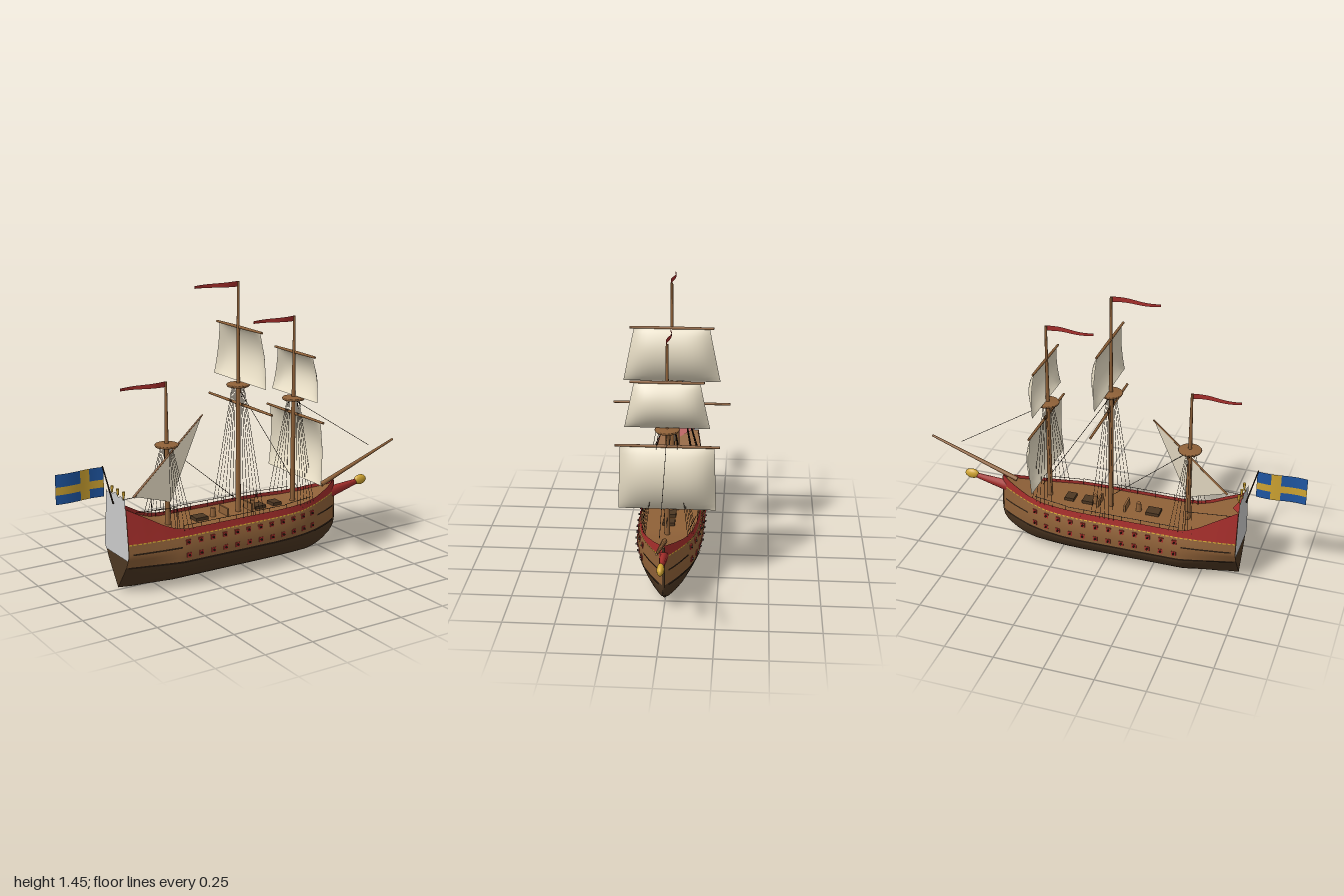
import * as THREE from 'three';

const mat = (name, color, side = THREE.FrontSide) => {
  const m = new THREE.MeshStandardMaterial({ color, side });
  m.name = name;
  return m;
};

export function createModel() {
  const ship = new THREE.Group();
  ship.name = 'sailingShip';
  const wood = mat('wood', 0x8f6138, THREE.DoubleSide);
  const darkHull = mat('darkHull', 0x4d3722);
  const red = mat('redPaint', 0xa62e2b, THREE.DoubleSide);
  const canvas = mat('canvas', 0xe4dac2, THREE.DoubleSide);
  const gold = mat('gold', 0xd2a632, THREE.DoubleSide);
  const blue = mat('blueCloth', 0x1f57a4, THREE.DoubleSide);
  const gray = mat('grayPanel', 0xcacaca, THREE.DoubleSide);
  const rope = mat('rope', 0x2c1e12);

  const add = (name, geo, material, x = 0, y = 0, z = 0, parent = ship) => {
    const m = new THREE.Mesh(geo, material);
    m.name = name;
    m.position.set(x, y, z);
    parent.add(m);
    return m;
  };
  const group = (name) => {
    const g = new THREE.Group();
    g.name = name;
    ship.add(g);
    return g;
  };
  // Tapered rod between two points
  const rod = (name, a, b, r0, r1, material, parent = ship, sides = 10) => {
    const p = new THREE.Vector3(...a), q = new THREE.Vector3(...b);
    const d = q.clone().sub(p);
    const m = add(name, new THREE.CylinderGeometry(r1, r0, d.length(), sides), material, 0, 0, 0, parent);
    m.position.copy(p).addScaledVector(d, 0.5);
    m.quaternion.setFromUnitVectors(new THREE.Vector3(0, 1, 0), d.normalize());
    return m;
  };
  const table = (pts) => (x) => {
    let i = 1;
    while (i < pts.length - 1 && x > pts[i][0]) i++;
    const [x0, y0] = pts[i - 1], [x1, y1] = pts[i];
    return y0 + (y1 - y0) * Math.min(1, Math.max(0, (x - x0) / (x1 - x0)));
  };

  // Hull lines: beam and keel along the length, fullness by height, sheer of the top edge
  const STERN = -0.69, BOW = 0.6;
  const beam = table([[-0.69, 0.13], [-0.62, 0.142], [-0.5, 0.157], [-0.4, 0.165], [0.12, 0.165], [0.22, 0.158],
    [0.32, 0.14], [0.41, 0.112], [0.5, 0.068], [0.56, 0.033], [0.6, 0.005]]);
  const keel = table([[-0.69, 0.012], [-0.6, 0.002], [0.4, 0], [0.46, 0.01], [0.52, 0.032], [0.57, 0.065], [0.6, 0.1]]);
  const full = table([[0, 0], [0.01, 0.3], [0.025, 0.48], [0.05, 0.66], [0.08, 0.81], [0.11, 0.92],
    [0.14, 0.98], [0.18, 1], [0.22, 0.98], [0.265, 0.91], [0.435, 0.77]]);
  const vee = table([[0, 0], [0.14, 0.72], [0.2, 0.95], [0.265, 0.91], [0.435, 0.77]]);
  const sheer = table([[-0.69, 0.435], [-0.57, 0.37], [-0.5, 0.33], [-0.44, 0.307], [-0.38, 0.298], [0.33, 0.298],
    [0.43, 0.308], [0.52, 0.328], [0.6, 0.35]]);
  const redLine = table([[-0.69, 0.262], [0.3, 0.263], [0.6, 0.29]]);
  const halfWidth = (x, y) => {
    const k = keel(x), l = y < 0.14 ? Math.max(0, (y - k) / (0.14 - k)) * 0.14 : y;
    const w = Math.min(1, Math.max(0, (-0.42 - x) / 0.27));
    return beam(x) * (full(l) * (1 - w) + vee(l) * w);
  };
  // Strip of planking between two height lines, on both sides
  const strip = (name, material, x0, x1, low, high, ny = 1, off = 0) => {
    const nx = Math.ceil((x1 - x0) / 0.025), pos = [], idx = [];
    for (const s of [1, -1]) {
      const base = pos.length / 3;
      for (let i = 0; i <= nx; i++) for (let j = 0; j <= ny; j++) {
        const x = x0 + (x1 - x0) * i / nx, y = low(x) + (high(x) - low(x)) * j / ny;
        pos.push(x, y, s * (halfWidth(x, y) + off));
        if (i < nx && j < ny) {
          const a = base + i * (ny + 1) + j, b = a + ny + 1;
          idx.push(...(s > 0 ? [a, b, b + 1, a, b + 1, a + 1] : [a, b + 1, b, a, a + 1, b + 1]));
        }
      }
    }
    const g = new THREE.BufferGeometry();
    g.setAttribute('position', new THREE.Float32BufferAttribute(pos, 3));
    g.setIndex(idx);
    g.computeVertexNormals();
    add(name, g, material);
  };
  const at = (v) => () => v;
  strip('lowerHull', darkHull, STERN, BOW, keel, at(0.14), 14);
  strip('upperHull', wood, STERN, BOW, at(0.14), redLine, 6);
  strip('bulwark', red, STERN, BOW, redLine, sheer, 3);
  strip('wale', rope, -0.68, 0.58, at(0.131), at(0.142), 1, 0.004);
  for (let x = STERN; x < 0.57; x += 0.024)
    strip('goldDash', gold, x, x + 0.016, (v) => redLine(v) - 0.004, (v) => redLine(v) + 0.002, 1, 0.003);
  strip('sternWale', rope, -0.67, -0.42, at(0.209), at(0.217), 1, 0.004);
  strip('bowWale', rope, 0.42, 0.58, at(0.209), at(0.217), 1, 0.004);
  const stem = [[0.42, 0.008, 0], [0.5, 0.03, 0], [0.57, 0.073, 0], [0.596, 0.12, 0], [0.596, 0.34, 0]];
  add('stem', new THREE.TubeGeometry(new THREE.CatmullRomCurve3(stem.map((p) => new THREE.Vector3(...p))), 24, 0.007, 8), darkHull);

  // Deck
  const deckY = (x) => sheer(x) - 0.02;
  const deck = new THREE.PlaneGeometry(1, 1, 50, 2).rotateX(-Math.PI / 2);
  const dp = deck.attributes.position;
  for (let i = 0; i < dp.count; i++) {
    const x = STERN + (dp.getX(i) + 0.5) * (BOW - STERN), y = deckY(x);
    dp.setXYZ(i, x, y, dp.getZ(i) * 2 * halfWidth(x, y));
  }
  deck.computeVertexNormals();
  add('deck', deck, wood);
  const sternTrim = new THREE.BufferGeometry().setFromPoints([
    new THREE.Vector3(-0.688, 0.434, 0.1), new THREE.Vector3(-0.64, 0.392, 0), new THREE.Vector3(-0.688, 0.434, -0.1)]);
  sternTrim.computeVertexNormals();
  add('sternTrim', sternTrim, red);

  // Transom and the tall panel over it
  const plate = (name, material, x, right) => {
    const pts = [...right, ...right.slice().reverse().map(([z, y]) => [-z, y])];
    const g = new THREE.ShapeGeometry(new THREE.Shape(pts.map((p) => new THREE.Vector2(...p))));
    add(name, g.rotateY(-Math.PI / 2), material, x);
  };
  const edge = (y) => [halfWidth(STERN, y), y];
  plate('transom', darkHull, STERN, [0.014, 0.05, 0.1, 0.14, 0.2, 0.265, 0.43].map(edge));
  plate('sternPanel', gray, STERN - 0.003, [edge(0.18), edge(0.2), edge(0.265), edge(0.435), [0.1, 0.49],
    [0.085, 0.475], [0.06, 0.49], [0.03, 0.48], [0.01, 0.495]]);
  for (const z of [-0.06, 0, 0.06]) {
    rod('lanternPost', [-0.69, 0.46, z], [-0.68, 0.48, z], 0.003, 0.003, gold);
    add('lantern', new THREE.CylinderGeometry(0.008, 0.005, 0.03, 8), gold, -0.68, 0.495, z);
  }

  // Gun ports with muzzles
  const ports = group('gunPorts');
  for (const s of [1, -1]) for (const y of [0.17, 0.234]) for (let i = 0; i < 12; i++) {
    const x = -0.385 + i * 0.0693, z = s * halfWidth(x, y);
    const turn = s * Math.atan2(halfWidth(x - 0.01, y) - halfWidth(x + 0.01, y), 0.02);
    add('portLid', new THREE.BoxGeometry(0.024, 0.024, 0.007), red, x, y, z, ports).rotation.y = turn;
    rod('muzzle', [x, y, z], [x, y, z + s * 0.011], 0.005, 0.005, rope, ports, 8);
  }

  // Beak, figurehead and bowsprit
  const beak = rod('beak', [0.56, 0.28, 0], [0.77, 0.316, 0], 0.034, 0.013, red);
  beak.scale.z = 0.65;
  add('figurehead', new THREE.SphereGeometry(1, 16, 12), gold, 0.778, 0.32, 0).scale.set(0.039, 0.027, 0.018);
  rod('bowsprit', [0.52, 0.334, 0], [0.997, 0.513, 0], 0.013, 0.006, wood);

  // Deck fittings
  for (const [x, w] of [[-0.23, 0.07], [0.12, 0.06], [0.22, 0.05]])
    add('hatch', new THREE.BoxGeometry(w, 0.016, 0.06), darkHull, x, deckY(x) + 0.008, 0);
  for (const x of [-0.15, 0.085]) add('capstan', new THREE.CylinderGeometry(0.012, 0.016, 0.045, 12), wood, x, deckY(x) + 0.022, 0);
  for (const x of [-0.085, 0.06]) add('pinRail', new THREE.BoxGeometry(0.01, 0.038, 0.08), wood, x, deckY(x) + 0.019, 0);
  for (const s of [1, -1]) {
    rod('waistRail', [-0.4, 0.315, s * 0.14], [0.2, 0.315, s * 0.14], 0.0015, 0.0015, rope, ship, 5);
    rod('foreRail', [0.2, 0.315, s * 0.134], [0.38, 0.318, s * 0.104], 0.0015, 0.0015, rope, ship, 5);
    rod('sternRail', [-0.685, 0.412, s * 0.1], [-0.43, 0.408, s * 0.128], 0.0015, 0.0015, rope, ship, 5);
    for (let x = -0.4; x < 0.21; x += 0.1) rod('railPost', [x, 0.28, s * 0.14], [x, 0.315, s * 0.14], 0.0015, 0.0015, rope, ship, 5);
    rod('sternRailPost', [-0.43, 0.29, s * 0.128], [-0.43, 0.408, s * 0.128], 0.0015, 0.0015, rope, ship, 5);
  }

  // Masts with tops, shrouds and pennants
  const mast = (name, x, topY, tip) => {
    const g = group(name);
    rod('lowerMast', [x, 0.27, 0], [x, topY, 0], 0.014, 0.011, wood, g);
    rod('topMast', [x, topY, 0], [x, tip, 0], 0.01, 0.006, wood, g);
    const bowl = [[0.012, -0.014], [0.035, -0.011], [0.055, -0.006], [0.06, 0.002], [0.056, 0.007], [0.001, 0.011]];
    add('mastTop', new THREE.LatheGeometry(bowl.map((p) => new THREE.Vector2(...p)), 20), wood, x, topY, 0, g);
    for (const s of [1, -1]) for (let i = 0; i < 6; i++) {
      const bx = x - 0.06 + i * 0.024;
      rod('shroud', [x - 0.01 + i * 0.004, topY - 0.008, s * 0.04], [bx, 0.29, s * halfWidth(bx, 0.29)], 0.0011, 0.0011, rope, g, 4);
    }
    const geo = new THREE.PlaneGeometry(0.245, 1, 16, 1), p = geo.attributes.position;
    for (let i = 0; i < p.count; i++) {
      const t = 0.5 - p.getX(i) / 0.245;
      p.setXYZ(i, x - t * 0.245, tip - 0.012 + p.getY(i) * (0.028 - 0.015 * t), 0.009 * Math.sin(t * 6.28));
    }
    geo.computeVertexNormals();
    add('pennant', geo, red, 0, 0, 0, g);
  };
  mast('foreMast', 0.335, 0.825, 1.25);
  mast('mainMast', 0, 0.935, 1.45);
  mast('mizzenMast', -0.41, 0.685, 1.0);

  // Square sails billow forward from their yards
  const yard = (name, x, y, half) => {
    rod(name, [x, y, 0], [x, y, half], 0.008, 0.006, wood);
    rod(name, [x, y, 0], [x, y, -half], 0.008, 0.006, wood);
  };
  const sail = (name, x, top, bottom, wTop, wBottom, bulge) => {
    const g = new THREE.PlaneGeometry(2, 1, 16, 16).rotateY(Math.PI / 2), p = g.attributes.position;
    for (let i = 0; i < p.count; i++) {
      const u = p.getZ(i), v = 0.5 - p.getY(i);
      const belly = Math.sin(Math.PI * v) ** 0.8 * (0.15 + 0.85 * (1 - u ** 4));
      p.setXYZ(i, x + bulge * belly, top + (bottom - top) * v, u * (wTop + (wBottom - wTop) * v));
    }
    g.computeVertexNormals();
    add(name, g, canvas);
  };
  yard('mainYard', 0.008, 0.838, 0.29);
  yard('mainTopYard', 0.004, 1.225, 0.205);
  yard('foreYard', 0.343, 0.745, 0.25);
  yard('foreTopYard', 0.34, 1.065, 0.175);
  sail('mainTopSail', 0.006, 1.225, 0.953, 0.185, 0.24, 0.055);
  sail('foreSail', 0.343, 0.745, 0.417, 0.225, 0.237, 0.065);
  sail('foreTopSail', 0.34, 1.065, 0.838, 0.155, 0.203, 0.057);

  // Slanted triangular sail on the mizzen
  const lateen = new THREE.BufferGeometry().setFromPoints([
    new THREE.Vector3(-0.6, 0.46, 0.014), new THREE.Vector3(-0.4, 0.4, 0.014), new THREE.Vector3(-0.22, 0.81, 0.014)]);
  lateen.computeVertexNormals();
  add('lateenSail', lateen, canvas);
  rod('lateenYard', [-0.605, 0.457, 0.014], [-0.215, 0.815, 0.014], 0.006, 0.004, wood);

  // Stays
  for (const [a, b] of [[[0, 0.92, 0], [0.375, 0.33, 0]], [[0.34, 0.815, 0], [0.83, 0.505, 0]], [[-0.4, 0.67, 0], [0, 0.335, 0]]])
    rod('stay', a, b, 0.0014, 0.0014, rope, ship, 5);

  // Ensign: blue cloth with a gold cross, in a three by three layout
  rod('flagPole', [-0.705, 0.44, 0], [-0.757, 0.635, 0], 0.004, 0.003, rope);
  const fx = [-1, -0.872, -0.823, -0.752], fy = [0.485, 0.53, 0.568, 0.63];
  const flag = group('flag');
  for (let i = 0; i < 3; i++) for (let j = 0; j < 3; j++) {
    const g = new THREE.PlaneGeometry(fx[i + 1] - fx[i], fy[j + 1] - fy[j], 6, 1);
    g.translate((fx[i] + fx[i + 1]) / 2, (fy[j] + fy[j + 1]) / 2, 0);
    const p = g.attributes.position;
    for (let k = 0; k < p.count; k++) p.setZ(k, 0.006 * Math.sin((p.getX(k) + 0.752) * 25));
    g.computeVertexNormals();
    add(i === 1 || j === 1 ? 'flagCross' : 'flagField', g, i === 1 || j === 1 ? gold : blue, 0, 0, 0, flag);
  }
  return ship;
}
